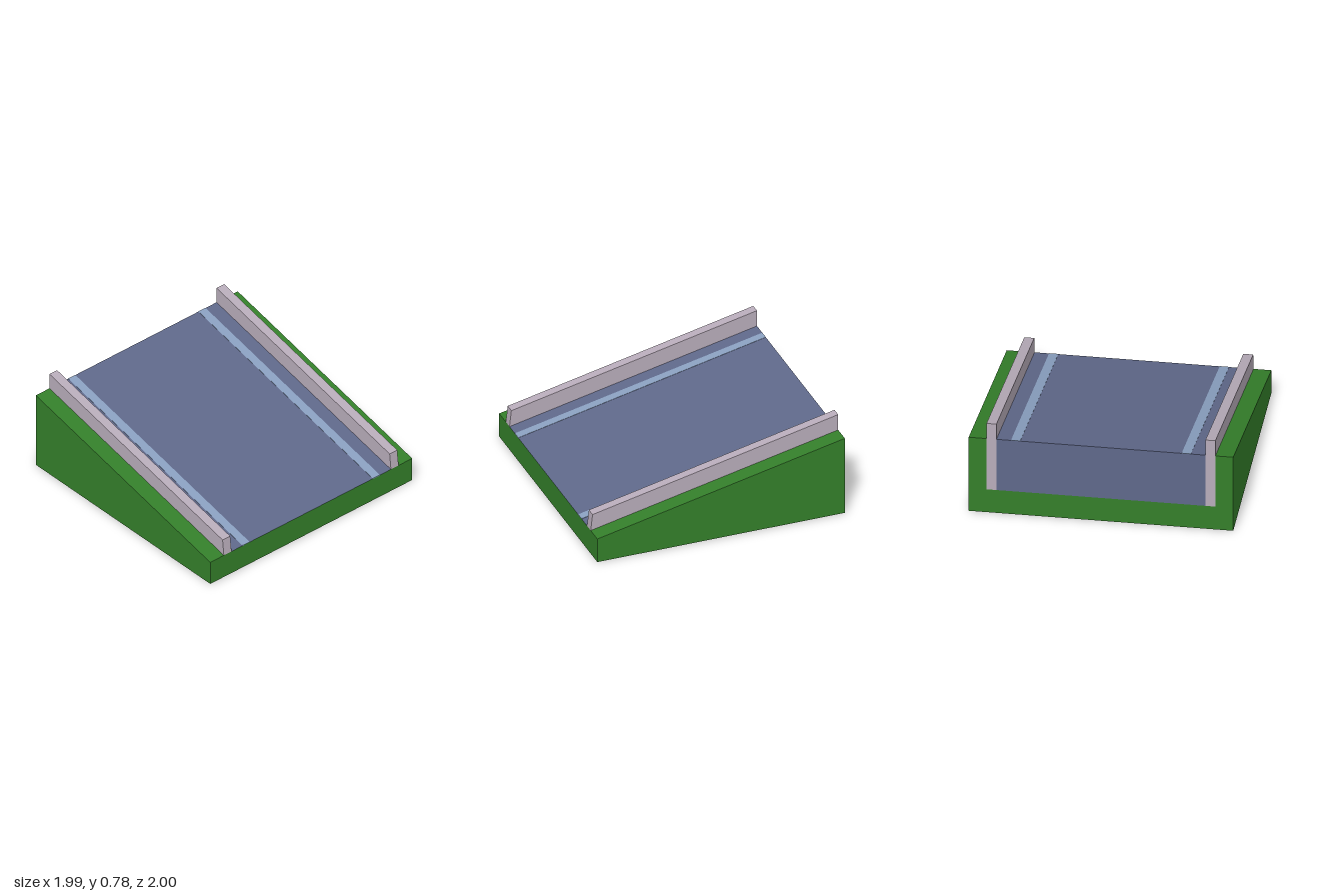
import * as THREE from 'three';

const X = 0.995, LOW = 0.2, HIGH = 0.645; // half length, low and high ends of the slope
const RAIL_IN = 0.79, RAIL_OUT = 0.865;

const material = (color) => new THREE.MeshStandardMaterial({ color, flatShading: true });
const grass = material(0x347f2a);
const road = material(0x5f688a);
const paint = material(0x8aa0c0);
const concrete = material(0xb8acba);

// Extrude a side profile (x, y) between two z positions
function slab(name, points, z0, z1, mat) {
  const shape = new THREE.Shape(points.map(([x, y]) => new THREE.Vector2(x, y)));
  const geometry = new THREE.ExtrudeGeometry(shape, { depth: z1 - z0, bevelEnabled: false });
  geometry.translate(0, 0, z0);
  const mesh = new THREE.Mesh(geometry, mat);
  mesh.name = name;
  return mesh;
}

export function createModel() {
  const model = new THREE.Group();
  model.name = 'roadRamp';

  // Low earth bed under the road
  model.add(slab('earthBed', [[-X, 0], [X, 0], [X, LOW], [-X, LOW]], -RAIL_OUT, RAIL_OUT, grass));

  // Sloping road wedge
  model.add(slab('roadDeck', [[-X, LOW], [X, LOW], [-X, HIGH]], -RAIL_IN, RAIL_IN, road));

  const bank = [[-X, 0], [X, 0], [X, LOW], [-X, HIGH]];
  const rail = [[-X, LOW], [X, LOW], [0.98, 0.335], [-X, 0.778]];
  const lift = 0.002;
  const stripe = [[-X, HIGH - 0.004], [X, LOW - 0.004], [X, LOW + lift], [-X, HIGH + lift]];

  // Grass bank, guard wall and painted line on each side
  for (const [side, label] of [[1, 'front'], [-1, 'back']]) {
    const pair = (name, points, a, b, mat) =>
      model.add(slab(label + name, points, Math.min(side * a, side * b), Math.max(side * a, side * b), mat));
    pair('GrassBank', bank, RAIL_OUT, 1, grass);
    pair('GuardWall', rail, RAIL_IN, RAIL_OUT, concrete);
    pair('LaneLine', stripe, 0.61, 0.68, paint);
  }
  return model;
}
